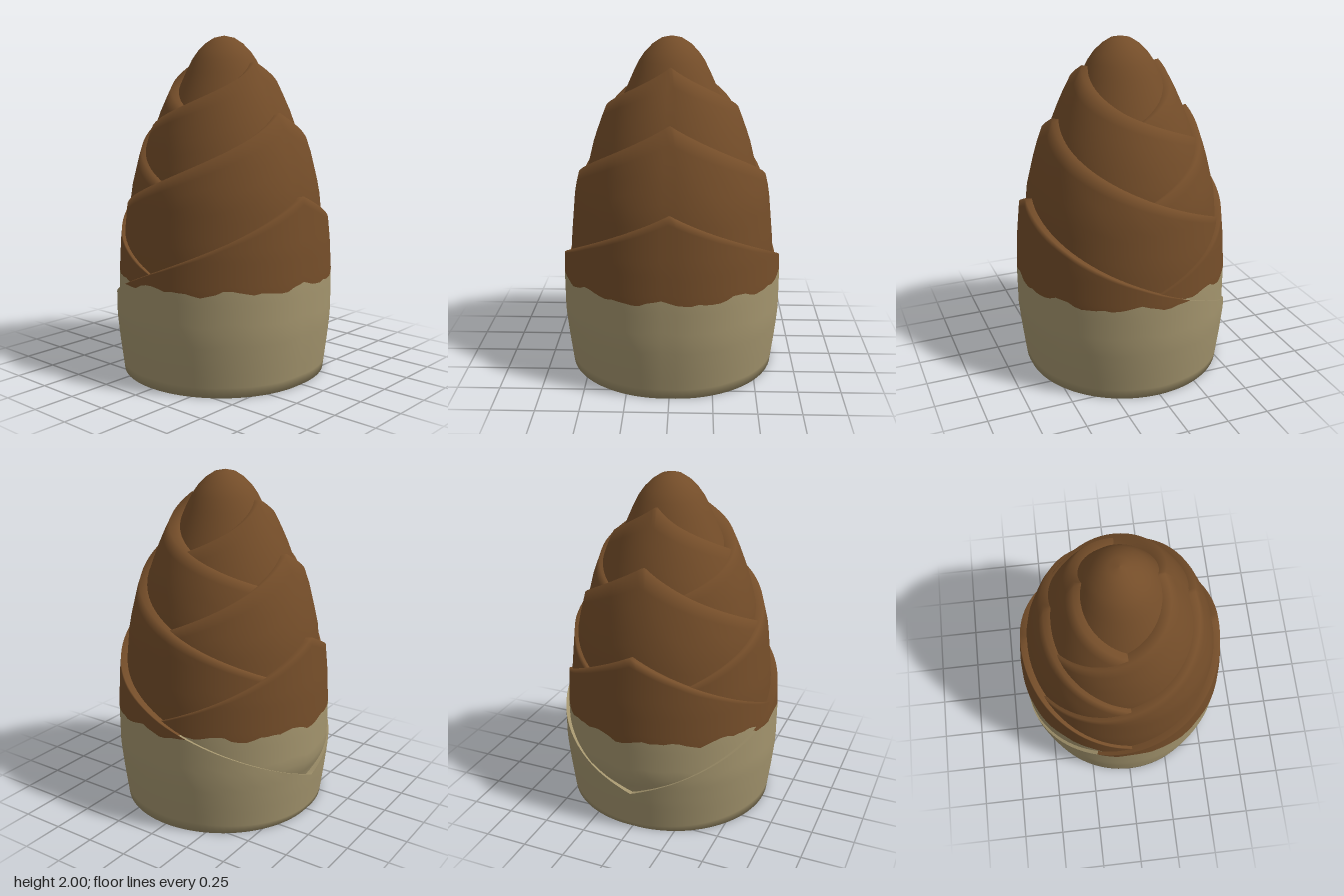
import * as THREE from 'three';

const brown = new THREE.MeshStandardMaterial({ color: 0x744d29 });
brown.name = 'brown sheath';
const tan = new THREE.MeshStandardMaterial({ color: 0xa3946d });
tan.name = 'pale base';

const COLS = 96;

// Radius at height y, read from [y, radius] points listed from top to bottom
function radiusAt(profile, y) {
  if (y >= profile[0][0]) return profile[0][1];
  for (let i = 1; i < profile.length; i++) {
    const [y0, r0] = profile[i - 1], [y1, r1] = profile[i];
    if (y >= y1) return r1 + (r0 - r1) * (y - y1) / (y0 - y1);
  }
  return profile[profile.length - 1][1];
}

// Ragged line where the brown skin meets the pale base
const ragged = (a) => 0.595 + 0.013 * Math.sin(9 * a + 1) + 0.009 * Math.sin(17 * a)
  + 0.007 * Math.abs(Math.sin(20 * a + 0.6));

// One wrapped sheath: its upper edge peaks on one side (+x or -x) and slopes down around the body
function sheath({ name, side, peak, drop, bottom, profile, painted, closed }) {
  const pos = [], idx = [[], []], BROWN = 10, PALE = 10;
  const rows = 2 + BROWN + PALE;
  const edges = [], cuts = [];

  const radius = (a, y) => {
    let r = radiusAt(profile, y);
    if (side > 0) r += 0.025 * Math.abs(Math.sin(a));
    else {
      r -= 0.035 * Math.max(0, Math.cos(a));
      if (painted) r -= 0.04 * THREE.MathUtils.smoothstep(0.36 - y, 0, 0.16);
    }
    return r;
  };

  for (let c = 0; c < COLS; c++) {
    const a = (c / COLS) * Math.PI * 2;
    const fromX = Math.min(a, Math.PI * 2 - a);
    const away = side > 0 ? fromX : Math.PI - fromX;
    edges[c] = peak - drop * away / (Math.PI / 2);
    cuts[c] = painted ? ragged(a) : bottom;
  }
  for (let row = 0; row < rows; row++) {
    for (let c = 0; c < COLS; c++) {
      const a = (c / COLS) * Math.PI * 2;
      const h = edges[c], cut = Math.min(h, cuts[c]);
      let y = h, inset = 0;
      if (row === 0) { y = h - 0.015; inset = 0.07; }         // tucked inner lip
      else if (row <= BROWN + 1) y = h + (cut - h) * (row - 1) / BROWN;
      else y = cut + (bottom - cut) * (row - BROWN - 1) / PALE;
      const r = radius(a, row === 0 ? h : y) - inset;
      pos.push(r * Math.cos(a), y, r * Math.sin(a));
    }
  }
  for (let row = 0; row < rows - 1; row++) {
    for (let c = 0; c < COLS; c++) {
      const n = (c + 1) % COLS;
      const a0 = row * COLS + c, a1 = row * COLS + n, b0 = a0 + COLS, b1 = a1 + COLS;
      const pale = row > BROWN || (row === 0 && edges[c] < cuts[c]);
      idx[pale ? 1 : 0].push(a0, a1, b0, a1, b1, b0);
    }
  }
  // Underside
  if (closed) {
    const centre = pos.length / 3, last = (rows - 1) * COLS;
    pos.push(0, bottom, 0);
    for (let c = 0; c < COLS; c++) idx[1].push(last + c, last + (c + 1) % COLS, centre);
  }
  const geo = new THREE.BufferGeometry();
  geo.setAttribute('position', new THREE.Float32BufferAttribute(pos, 3));
  geo.setIndex([...idx[0], ...idx[1]]);
  geo.addGroup(0, idx[0].length, 0);
  geo.addGroup(idx[0].length, idx[1].length, 1);
  geo.computeVertexNormals();
  const mesh = new THREE.Mesh(geo, [brown, painted ? tan : brown]);
  mesh.name = name;
  return mesh;
}

export function createModel() {
  const group = new THREE.Group();
  group.name = 'bambooShoot';

  // Rounded tip
  const tip = [[0.4, 1.3], [0.35, 1.5], [0.31, 1.6], [0.265, 1.7], [0.225, 1.79], [0.19, 1.86],
    [0.155, 1.91], [0.11, 1.955], [0.06, 1.987], [0, 2]];
  const core = new THREE.Mesh(
    new THREE.LatheGeometry(tip.map(([x, y]) => new THREE.Vector2(x, y)), 48), brown);
  core.name = 'tip';
  group.add(core);

  // Three layers of overlapping sheaths, one peaking on each side
  const layers = [
    { name: 'upperSheath', peak: 1.85, drop: 0.26, bottom: 0.9,
      profile: [[1.85, 0.235], [1.7, 0.315], [1.56, 0.377], [1.4, 0.435], [1.2, 0.485], [0.9, 0.51]] },
    { name: 'middleSheath', peak: 1.56, drop: 0.38, bottom: 0.57,
      profile: [[1.56, 0.42], [1.33, 0.5], [1.1, 0.556], [0.8, 0.585], [0.57, 0.59]] },
    { name: 'lowerSheath', peak: 1.1, drop: 0.43, bottom: 0, painted: true,
      profile: [[1.1, 0.595], [0.8, 0.625], [0.6, 0.636], [0.35, 0.635], [0.2, 0.62], [0, 0.595]] },
  ];
  for (const layer of layers) {
    group.add(sheath({ ...layer, name: layer.name + 'Right', side: -1 }));
    group.add(sheath({ ...layer, name: layer.name + 'Left', side: 1, closed: layer.painted }));
  }
  return group;
}
